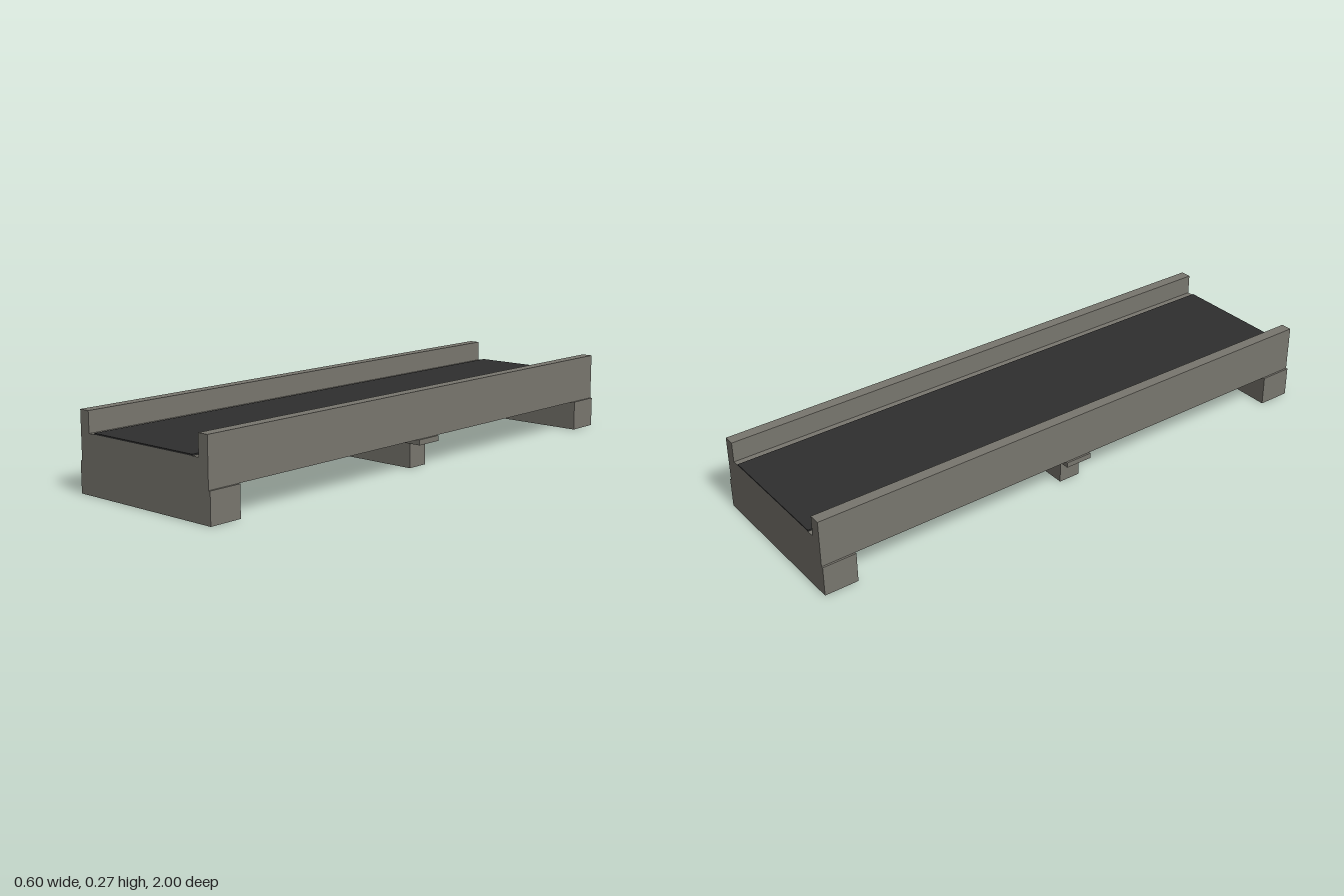
import * as THREE from 'three';

const stone = new THREE.MeshStandardMaterial({ color: 0x78766e, side: THREE.DoubleSide });
stone.name = 'stone grey';
const asphalt = new THREE.MeshStandardMaterial({ color: 0x2e2e2e });
asphalt.name = 'asphalt';

const HALF = 1;       // half the span
const BASE = 0.107;   // underside of the side walls
const DECK = 0.2;     // deck height

function addMesh(group, name, geometry, material, x = 0, y = 0, z = 0) {
  const mesh = new THREE.Mesh(geometry, material);
  mesh.name = name;
  mesh.position.set(x, y, z);
  group.add(mesh);
  return mesh;
}

// Box standing on y = 0 with no bottom face
function openBox(w, h, d) {
  const g = new THREE.BoxGeometry(w, h, d).translate(0, h / 2, 0);
  const index = Array.from(g.index.array);
  index.splice(18, 6);
  g.setIndex(index);
  g.clearGroups();
  return g;
}

// Sheet swept along z from an open profile, flat shaded
function sweep(profile) {
  const pos = [];
  for (let i = 0; i < profile.length - 1; i++) {
    const [ax, ay] = profile[i], [bx, by] = profile[i + 1];
    pos.push(ax, ay, HALF, bx, by, HALF, bx, by, -HALF);
    pos.push(ax, ay, HALF, bx, by, -HALF, ax, ay, -HALF);
  }
  const g = new THREE.BufferGeometry();
  g.setAttribute('position', new THREE.Float32BufferAttribute(pos, 3));
  g.computeVertexNormals();
  return g;
}

export function createModel() {
  const bridge = new THREE.Group();
  bridge.name = 'bridge';

  // Hollow deck with a parapet on each side, open underneath
  const half = [[-0.293, BASE], [-0.293, 0.273], [-0.253, 0.273], [-0.253, DECK]];
  const profile = [...half, ...half.map(([x, y]) => [-x, y]).reverse()];
  addMesh(bridge, 'deckAndParapets', sweep(profile), stone);

  // End walls closing the hollow deck
  const endShape = new THREE.Shape(profile.map(([x, y]) => new THREE.Vector2(x, y)));
  for (const s of [1, -1]) {
    const end = s > 0 ? 'front' : 'back';
    const wall = addMesh(bridge, end + 'EndWall', new THREE.ShapeGeometry(endShape), stone, 0, 0, s * HALF);
    if (s < 0) wall.rotation.y = Math.PI;
    // Abutment under each end
    addMesh(bridge, end + 'Abutment', openBox(0.6, BASE, 0.12), stone, 0, 0, s * (HALF - 0.06));
  }

  // Middle pier with its wider cap
  addMesh(bridge, 'pier', openBox(0.5, DECK - 0.002, 0.08), stone);
  addMesh(bridge, 'pierCap', openBox(0.6, BASE - 0.088, 0.1), stone, 0, 0.088, 0);

  // Road surface
  addMesh(bridge, 'road', new THREE.BoxGeometry(0.452, 0.005, 2 * HALF), asphalt, 0, DECK + 0.0025, 0);

  return bridge;
}
